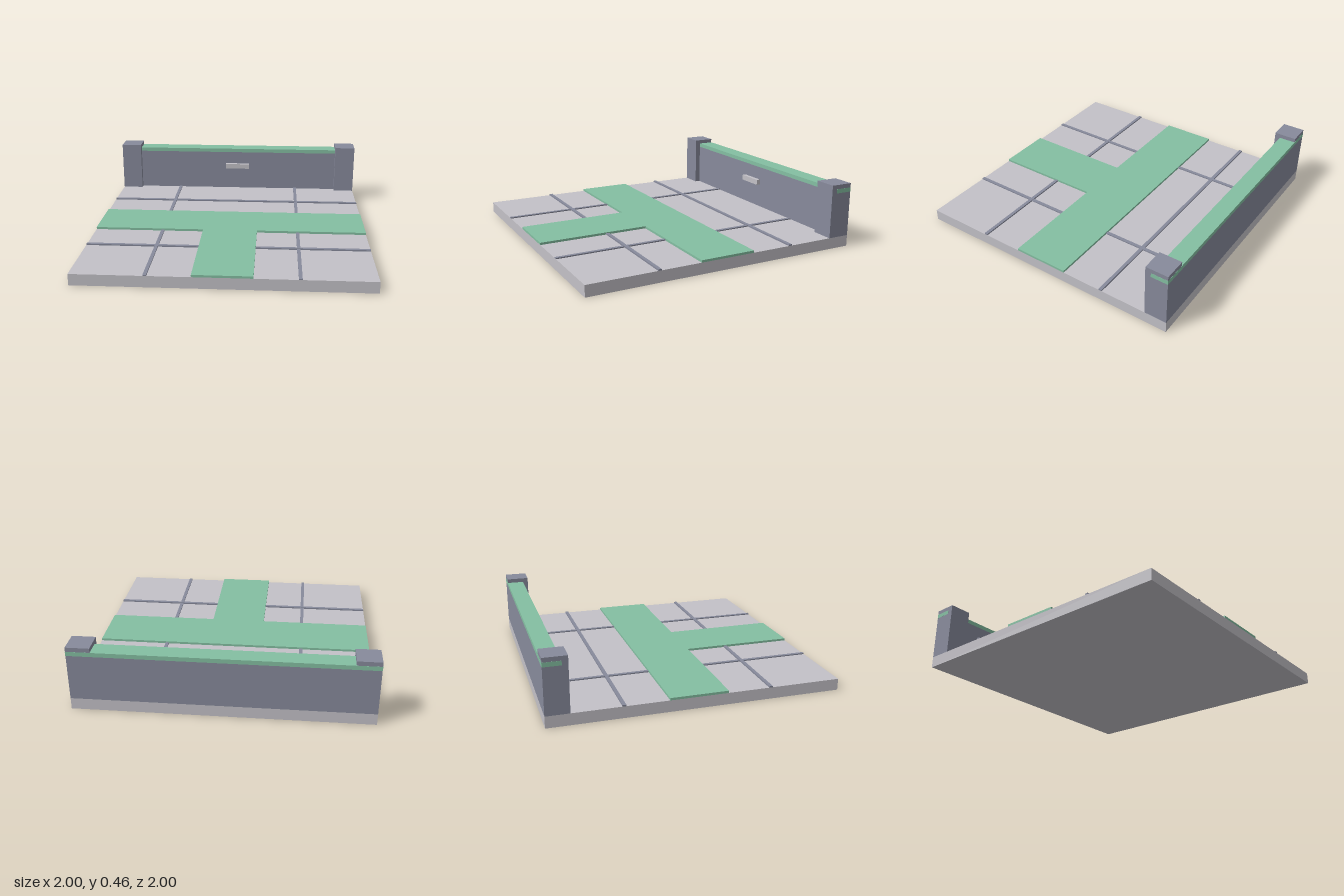
import * as THREE from 'three';

export function createModel() {
  const model = new THREE.Group();
  model.name = 'walledFloorTile';

  const material = (name, color) => {
    const m = new THREE.MeshStandardMaterial({ color });
    m.name = name;
    return m;
  };
  const stone = material('pale stone', 0xc3c1c7);
  const slate = material('slate', 0x878a9b);
  const green = material('soft green', 0x84bfa2);

  // Box given by its extents along each axis
  const box = (name, mat, [x0, x1], [y0, y1], [z0, z1]) => {
    const mesh = new THREE.Mesh(new THREE.BoxGeometry(x1 - x0, y1 - y0, z1 - z0), mat);
    mesh.position.set((x0 + x1) / 2, (y0 + y1) / 2, (z0 + z1) / 2);
    mesh.name = name;
    model.add(mesh);
  };

  // Floor slab
  box('floor', stone, [-1, 1], [0, 0.08], [-1, 1]);

  // Raised seams between the paving slabs
  for (const s of [-0.5, 0.5]) {
    box('lengthSeam', slate, [s - 0.012, s + 0.012], [0.08, 0.088], [-0.88, 1]);
    box('crossSeam', slate, [-1, 1], [0.08, 0.09], [s - 0.012, s + 0.012]);
  }

  // T-shaped path, one extruded outline laid flat
  const outline = [[-1, 0.2], [-1, -0.2], [-0.2, -0.2], [-0.2, -1], [0.2, -1], [0.2, -0.2], [1, -0.2], [1, 0.2]];
  const shape = new THREE.Shape(outline.map(([x, y]) => new THREE.Vector2(x, y)));
  const path = new THREE.Mesh(
    new THREE.ExtrudeGeometry(shape, { depth: 0.016, bevelEnabled: false }), green);
  path.rotation.x = -Math.PI / 2;
  path.position.y = 0.08;
  path.name = 'path';
  model.add(path);

  // Back wall with end posts
  box('backWall', slate, [-0.84, 0.84], [0.08, 0.4], [-1, -0.88]);
  for (const s of [-1, 1]) {
    box('endPost', slate, [s * 0.92 - 0.08, s * 0.92 + 0.08], [0.08, 0.46], [-1, -0.84]);
  }

  // Coping runs through the posts and shows on their outer faces
  box('wallCoping', green, [-1.001, 1.001], [0.4, 0.43], [-1.001, -0.88]);

  // Small plaque on the wall
  box('plaque', stone, [-0.1, 0.1], [0.26, 0.3], [-0.88, -0.85]);

  return model;
}
